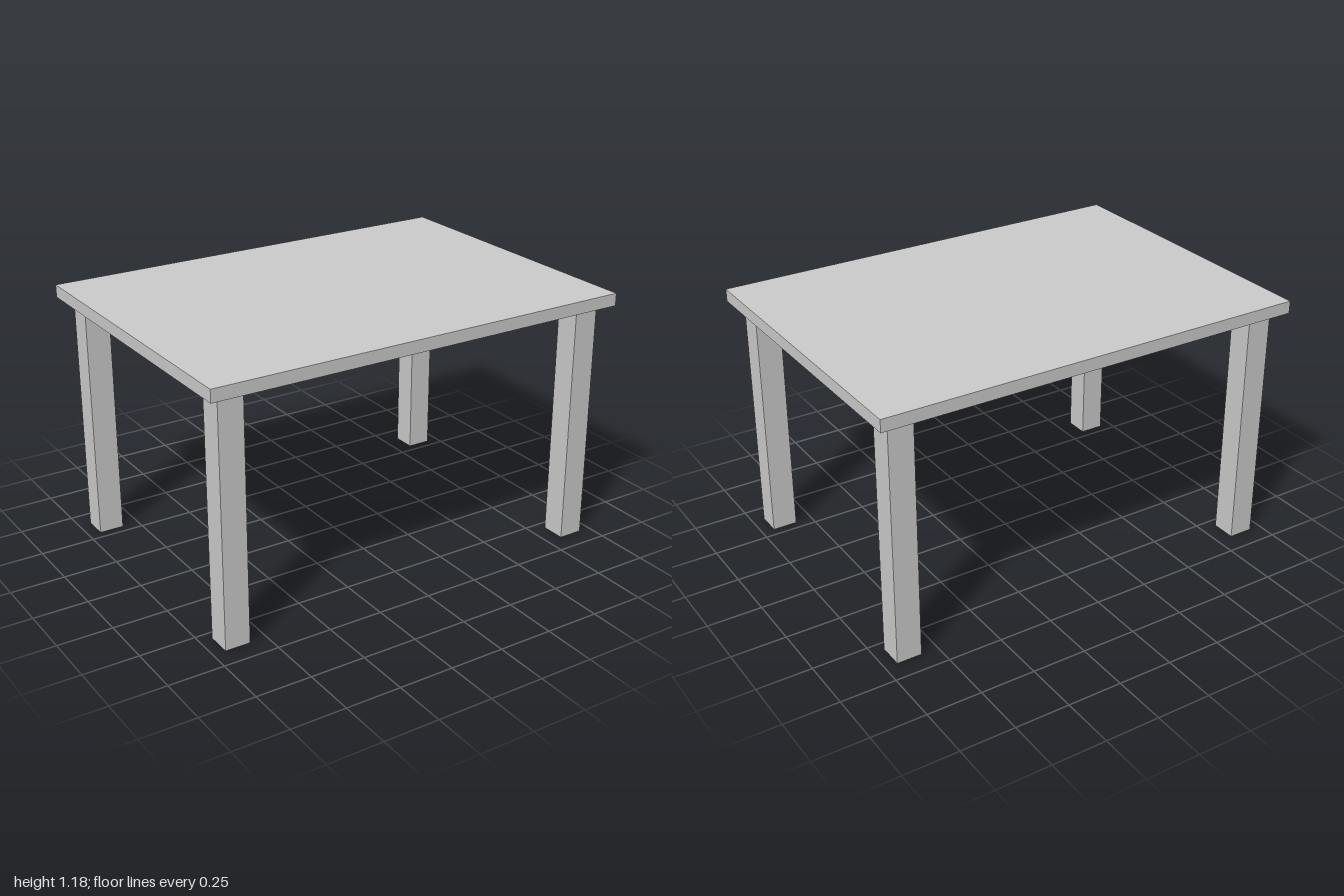
import * as THREE from 'three';

const LEG_HEIGHT = 1.119;
const LEG_WIDTH = 0.114;
const TOP = { width: 2, thickness: 0.057, depth: 1.429 };
const LEG_X = 0.886;
const LEG_Z = 0.6;

export function createModel() {
  const table = new THREE.Group();
  table.name = 'table';
  const material = new THREE.MeshStandardMaterial({ color: 0xcccccc });

  // Flat rectangular top resting on the legs
  const top = new THREE.Mesh(new THREE.BoxGeometry(TOP.width, TOP.thickness, TOP.depth), material);
  top.name = 'tableTop';
  top.position.y = LEG_HEIGHT + TOP.thickness / 2;
  table.add(top);

  // Four square legs, inset from the corners
  const legGeometry = new THREE.BoxGeometry(LEG_WIDTH, LEG_HEIGHT, LEG_WIDTH);
  for (const [zName, z] of [['front', 1], ['back', -1]]) {
    for (const [xName, x] of [['Left', 1], ['Right', -1]]) {
      const leg = new THREE.Mesh(legGeometry, material);
      leg.name = `${zName}${xName}Leg`;
      leg.position.set(x * LEG_X, LEG_HEIGHT / 2, z * LEG_Z);
      table.add(leg);
    }
  }
  return table;
}
